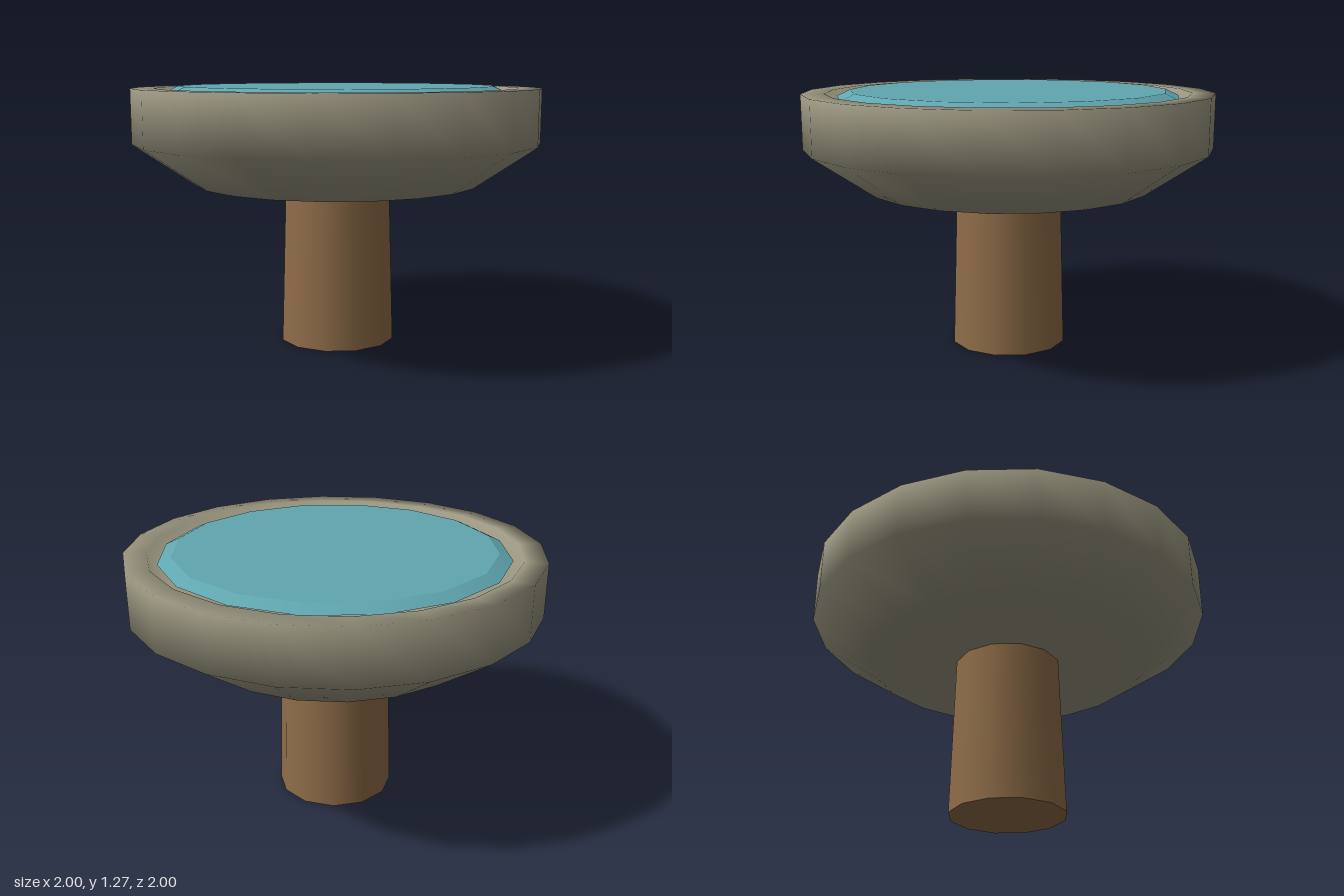
import * as THREE from 'three';

export function createModel() {
  const model = new THREE.Group();
  const stone = new THREE.MeshStandardMaterial({ name: 'stone', color: 0x9a9680 });
  const wood = new THREE.MeshStandardMaterial({ name: 'wood', color: 0x8f6d48 });
  const water = new THREE.MeshStandardMaterial({ name: 'water', color: 0x60a6b0 });

  const add = (name, geometry, material, y = 0) => {
    const mesh = new THREE.Mesh(geometry, material);
    mesh.name = name;
    mesh.position.y = y;
    model.add(mesh);
  };

  // Tapered pedestal, reaching slightly into the bowl
  add('pedestal', new THREE.CylinderGeometry(0.264, 0.288, 0.82, 12), wood, 0.41);

  // Bowl: underside, outer wall, flat rim, sloping inner wall and floor
  const profile = [
    [0, 0.795], [0.7, 0.795], [1, 1.0], [1, 1.265],
    [0.89, 1.265], [0.8, 1.17], [0, 1.17],
  ].map(([r, y]) => new THREE.Vector2(r, y));
  add('bowl', new THREE.LatheGeometry(profile, 20), stone);

  // Water disc with a sloping edge
  add('water', new THREE.CylinderGeometry(0.775, 0.84, 0.03, 16), water, 1.26);

  return model;
}
